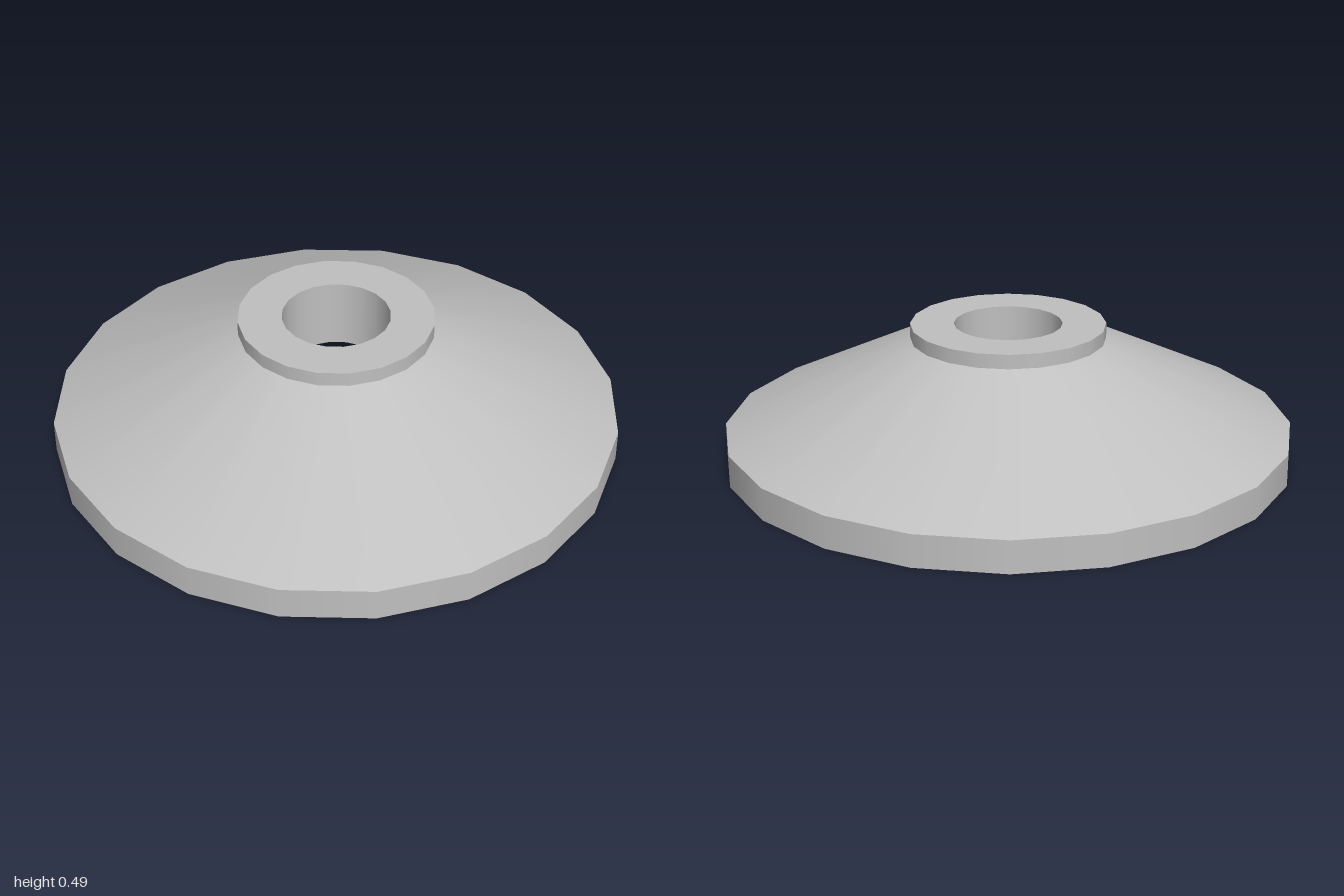
import * as THREE from 'three';
import { mergeGeometries } from 'three/addons/utils/BufferGeometryUtils.js';

const SIDES = 20;
const TURN = THREE.MathUtils.degToRad(4.5);

// Revolves each profile edge on its own: smooth around, sharp between bands.
function revolve(points) {
  const bands = [];
  for (let i = 0; i < points.length - 1; i++) {
    const edge = [points[i], points[i + 1]].map(([r, y]) => new THREE.Vector2(r, y));
    bands.push(new THREE.LatheGeometry(edge, SIDES, TURN));
  }
  return mergeGeometries(bands);
}

export function createModel() {
  const group = new THREE.Group();
  group.name = 'conicalWasher';
  const metal = new THREE.MeshStandardMaterial({ color: 0xc0c0c0 });
  metal.name = 'light grey metal';

  const R = 1.003, hub = 0.343, hole = 0.19;
  const parts = {
    // upright outer band
    rim: [[R, 0], [R, 0.115]],
    // sloping upper surface
    coneTop: [[R, 0.115], [hub, 0.438]],
    // hollow underside
    coneUnderside: [[hub, 0.295], [R, 0]],
    // collar above and below the cone, with the through hole
    hubTop: [[hub, 0.438], [hub, 0.489], [hole, 0.489]],
    hubBore: [[hole, 0.489], [hole, 0.239]],
    hubBottom: [[hole, 0.239], [hub, 0.239], [hub, 0.295]],
  };
  for (const [name, profile] of Object.entries(parts)) {
    const mesh = new THREE.Mesh(revolve(profile), metal);
    mesh.name = name;
    group.add(mesh);
  }
  return group;
}
